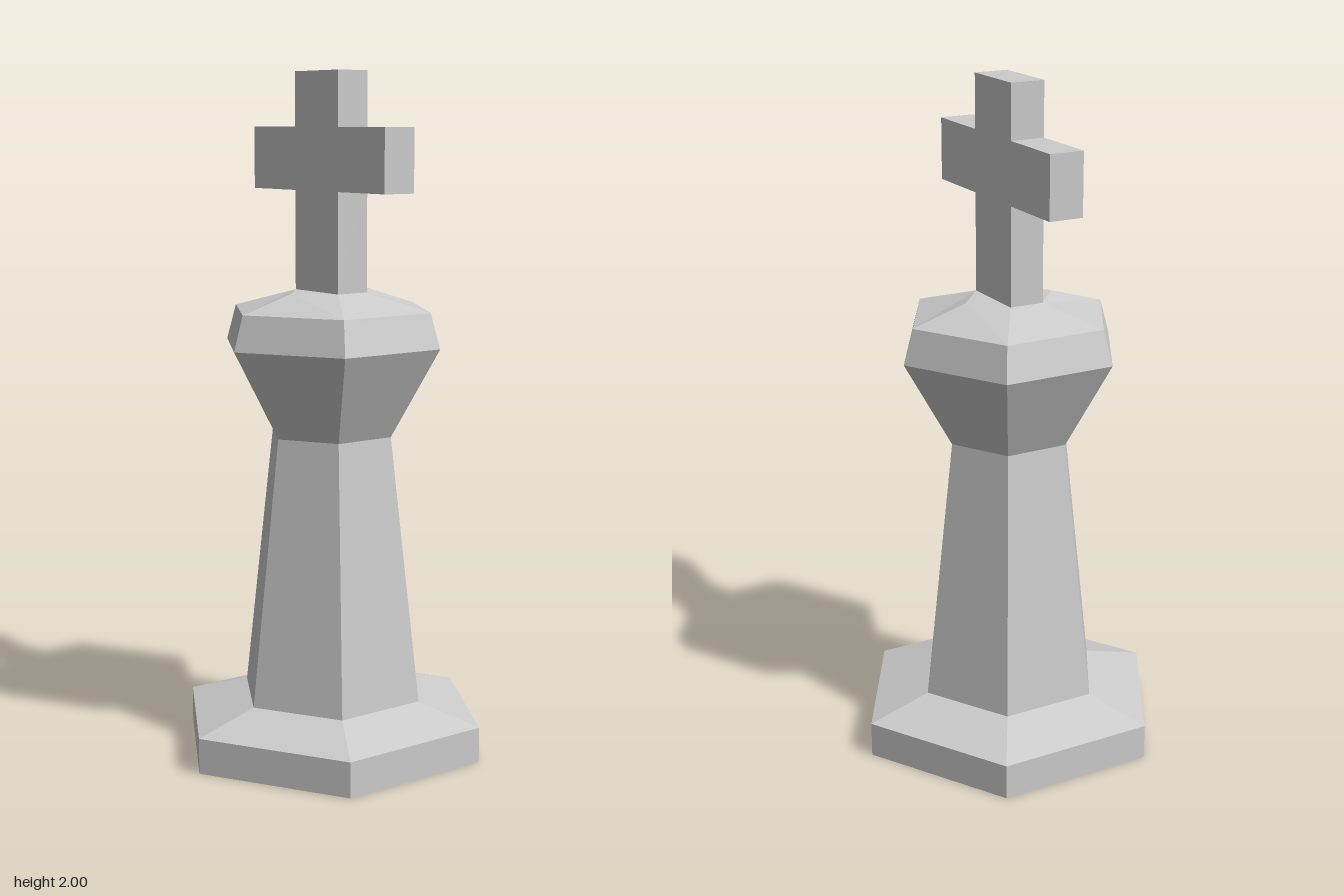
import * as THREE from 'three';

const material = new THREE.MeshStandardMaterial({ color: 0xcccccc, flatShading: true });

const CROSS_HALF_WIDTH = 0.104, CROSS_HALF_DEPTH = 0.052, CROWN_TOP = 1.37;

// Six-sided turned part with a corner facing +z; profile is [radius, y] from bottom to top
function hexTurned(name, profile) {
  const points = profile.map(([r, y]) => new THREE.Vector2(r, y));
  const mesh = new THREE.Mesh(new THREE.LatheGeometry(points, 6), material);
  mesh.name = name;
  return mesh;
}

// Flat shading needs split faces with their own normals
function facet(mesh) {
  mesh.geometry = mesh.geometry.toNonIndexed();
  mesh.geometry.computeVertexNormals();
  return mesh;
}

export function createModel() {
  const group = new THREE.Group();
  group.name = 'chessKing';

  // Plinth with a sloped upper face
  group.add(facet(hexTurned('base', [[0, 0], [0.473, 0], [0.473, 0.105], [0.283, 0.16]])));

  // Tapered column
  group.add(facet(hexTurned('column', [[0.283, 0.16], [0.19, 0.95]])));

  // Flared crown; the side corners of its top ring are drawn in to the foot of the cross
  const crown = hexTurned('crown', [
    [0.19, 0.95], [0.34, 1.215], [0.31, 1.318], [0.14, CROWN_TOP], [0, CROWN_TOP],
  ]);
  const pos = crown.geometry.attributes.position;
  for (let i = 0; i < pos.count; i++) {
    const x = pos.getX(i), z = pos.getZ(i);
    if (pos.getY(i) > CROWN_TOP - 0.01 && Math.abs(x) > 0.01) {
      pos.setX(i, Math.sign(x) * CROSS_HALF_WIDTH);
      pos.setZ(i, Math.sign(z) * CROSS_HALF_DEPTH);
    }
  }
  group.add(facet(crown));

  // Cross on top
  const w = CROSS_HALF_WIDTH, arm = 0.315, low = 1.66, high = 1.842;
  const half = [[w, CROWN_TOP], [w, low], [arm, low], [arm, high], [w, high], [w, 2]];
  const mirrored = half.map(([x, y]) => [-x, y]).reverse();
  const outline = new THREE.Shape([...half, ...mirrored].map(([x, y]) => new THREE.Vector2(x, y)));
  const crossGeometry = new THREE.ExtrudeGeometry(outline, {
    depth: 2 * CROSS_HALF_DEPTH, bevelEnabled: false,
  });
  crossGeometry.translate(0, 0, -CROSS_HALF_DEPTH);
  const cross = new THREE.Mesh(crossGeometry, material);
  cross.name = 'cross';
  group.add(cross);

  return group;
}
